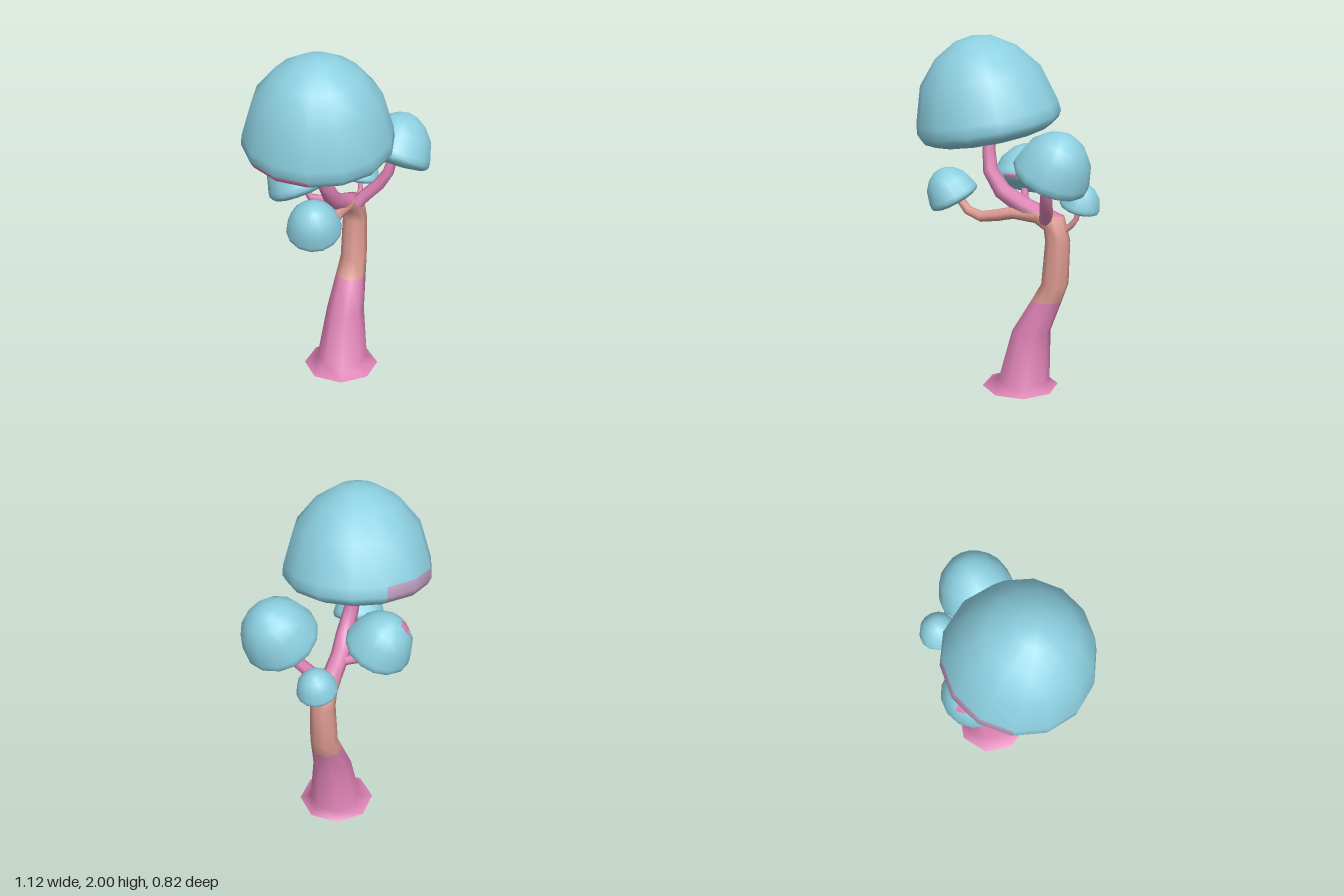
import * as THREE from 'three';

const mat = (name, color) => {
  const m = new THREE.MeshStandardMaterial({ color });
  m.name = name;
  return m;
};

export function createModel() {
  const root = new THREE.Group();
  root.name = 'mushroomTree';
  const blue = mat('capBlue', 0x8ccfe0);
  const pink = mat('barkPink', 0xdd82b4);
  const salmon = mat('barkSalmon', 0xdd9b92);
  const mauve = mat('undersideMauve', 0xbb9cbb);
  pink.side = THREE.DoubleSide; // the trunk is open at the foot

  // Sorts the faces of a geometry into one group per material
  function paint(name, geometry, faces, materials) {
    geometry.setIndex(faces.flat());
    let start = 0;
    faces.forEach((f, k) => {
      geometry.addGroup(start, f.length, k);
      start += f.length;
    });
    const mesh = new THREE.Mesh(geometry, materials);
    mesh.name = name;
    return mesh;
  }

  // Smooth open tube through rings [x, y, z, radius]; the first `level` rings lie flat.
  // pick(ringIndex, faceCentre) is 0 for pink, 1 for salmon
  function limb(name, rings, sides, pick, level = 0) {
    const pos = [], faces = [[], []];
    const P = rings.map(r => new THREE.Vector3(r[0], r[1], r[2]));
    const last = P.length - 1;
    const u = new THREE.Vector3(1, 0, 0);
    P.forEach((p, i) => {
      const t = P[Math.min(i + 1, last)].clone().sub(P[Math.max(i - 1, 0)]).normalize();
      if (i < level) t.set(0, 1, 0);
      u.addScaledVector(t, -u.dot(t)).normalize();
      const v = t.clone().cross(u);
      for (let j = 0; j < sides; j++) {
        const a = j / sides * Math.PI * 2;
        const q = p.clone().addScaledVector(u, Math.cos(a) * rings[i][3]).addScaledVector(v, Math.sin(a) * rings[i][3]);
        pos.push(q.x, q.y, q.z);
      }
    });
    const add = (ring, ...tri) => {
      const c = new THREE.Vector3();
      tri.forEach(k => c.add(new THREE.Vector3().fromArray(pos, k * 3)));
      faces[pick(ring, c.divideScalar(3))].push(...tri);
    };
    for (let i = 0; i < last; i++) {
      for (let j = 0; j < sides; j++) {
        const k = (j + 1) % sides;
        const a = i * sides + j, b = i * sides + k, c = b + sides, d = a + sides;
        add(i, a, b, d);
        add(i, b, c, d);
      }
    }
    const g = new THREE.BufferGeometry();
    g.setAttribute('position', new THREE.Float32BufferAttribute(pos, 3));
    const mesh = paint(name, g, faces, [pink, salmon]);
    g.computeVertexNormals();
    root.add(mesh);
  }

  // Trunk bending over into the main branch: pink foot, salmon middle, pink top
  limb('trunk', [
    [0.045, 0, -0.035, 0.218], [0.065, 0.04, -0.045, 0.148], [0.106, 0.34, -0.06, 0.11],
    [0.188, 0.53, -0.097, 0.088], [0.23, 0.63, -0.115, 0.077], [0.243, 0.88, -0.12, 0.07],
    [0.22, 0.98, -0.115, 0.07], [0.13, 1.02, -0.09, 0.054], [0.03, 1.07, -0.05, 0.052],
    [-0.06, 1.14, 0.0, 0.049], [-0.13, 1.25, 0.02, 0.043], [-0.15, 1.36, 0.01, 0.037], [-0.15, 1.45, 0, 0.034],
  ], 8, (i, c) => (i < 3 || c.y > 1.03 ? 0 : 1), 5);

  // Side branches, one for each small cap
  limb('rightBranch', [[0.2, 1.0, -0.06, 0.035], [0.235, 1.05, -0.03, 0.038],
    [0.28, 1.12, 0.03, 0.035], [0.315, 1.2, 0.07, 0.032], [0.335, 1.28, 0.08, 0.03]], 7, () => 0);
  limb('leftBranch', [[0.13, 1.01, -0.07, 0.04], [0.0, 1.02, -0.02, 0.036], [-0.08, 1.0, 0.02, 0.034],
    [-0.17, 0.985, 0.06, 0.032], [-0.24, 1.015, 0.09, 0.028], [-0.29, 1.09, 0.115, 0.024]], 7, () => 1);
  limb('backBranch', [[0.06, 1.06, -0.07, 0.03], [0.0, 1.07, -0.13, 0.026],
    [-0.05, 1.08, -0.18, 0.022], [-0.075, 1.15, -0.21, 0.02]], 6, () => 0);
  limb('twig', [[0.26, 0.93, -0.14, 0.022], [0.305, 0.97, -0.155, 0.02],
    [0.335, 1.01, -0.165, 0.016], [0.342, 1.08, -0.178, 0.013]], 6, i => (i < 2 ? 1 : 0));

  // Unit-radius cap from the bulging underside (rows 0-1), round the rim (2-4), up the dome (5-8)
  const profile = [[0, -0.24], [0.45, -0.22], [0.82, -0.16], [0.95, -0.09], [1, 0],
    [0.985, 0.14], [0.83, 0.65], [0.56, 0.97], [0.26, 1.15], [0, 1.2]].map(p => new THREE.Vector2(...p));
  const SEG = 14, ROWS = profile.length - 1;
  const capColours = [blue, pink, mauve];

  // pick(segment, row) is 0 for blue, 1 for pink, 2 for mauve
  function cap(name, centre, axis, radius, pick) {
    const g = new THREE.LatheGeometry(profile, SEG);
    const faces = [[], [], []];
    const index = Array.from(g.index.array);
    for (let s = 0; s < SEG; s++) {
      for (let r = 0; r < ROWS; r++) {
        const k = (s * ROWS + r) * 6;
        faces[pick(s, r)].push(...index.slice(k, k + 6));
      }
    }
    // Round off both poles
    for (let s = 0; s <= SEG; s++) {
      const k = s * (ROWS + 1);
      g.attributes.normal.setXYZ(k, 0, -1, 0);
      g.attributes.normal.setXYZ(k + ROWS, 0, 1, 0);
    }
    const mesh = paint(name, g, faces, capColours);
    mesh.position.set(...centre);
    mesh.scale.setScalar(radius);
    mesh.quaternion.setFromUnitVectors(new THREE.Vector3(0, 1, 0), new THREE.Vector3(...axis).normalize());
    root.add(mesh);
  }

  // Mauve underside, climbing the rim at the back and turning pink on the left of it
  cap('largeCap', [-0.16, 1.515, 0], [-0.125, 0.98, 0.125], 0.407, (s, r) => {
    if (r < 2) return 2;
    if (r < 4 && s >= 9 && s < 12) return 1;
    return r < 5 && s >= 6 && s < 9 ? 2 : 0;
  });
  // Pink and mauve towards the trunk
  cap('rightCap', [0.35, 1.295, 0.08], [0.45, 0.89, 0], 0.21, (s, r) => {
    if (s < 7 || s > 10) return 0;
    return r < 3 ? 1 : r === 3 ? 2 : 0;
  });
  // A pink patch near the top and another on the front rim
  cap('backCap', [-0.085, 1.152, -0.222], [-0.1, 0.9, -0.4], 0.188, (s, r) =>
    ((r === 7 && (s === 8 || s === 9)) || (r === 3 && s === 0) ? 1 : 0));
  cap('leftCap', [-0.315, 1.09, 0.125], [-0.35, 0.87, 0.3], 0.148, () => 0);
  cap('smallCap', [0.345, 1.08, -0.18], [0.25, 0.95, -0.05], 0.112, (s, r) => (r < 2 && s > 5 ? 1 : 0));
  return root;
}
